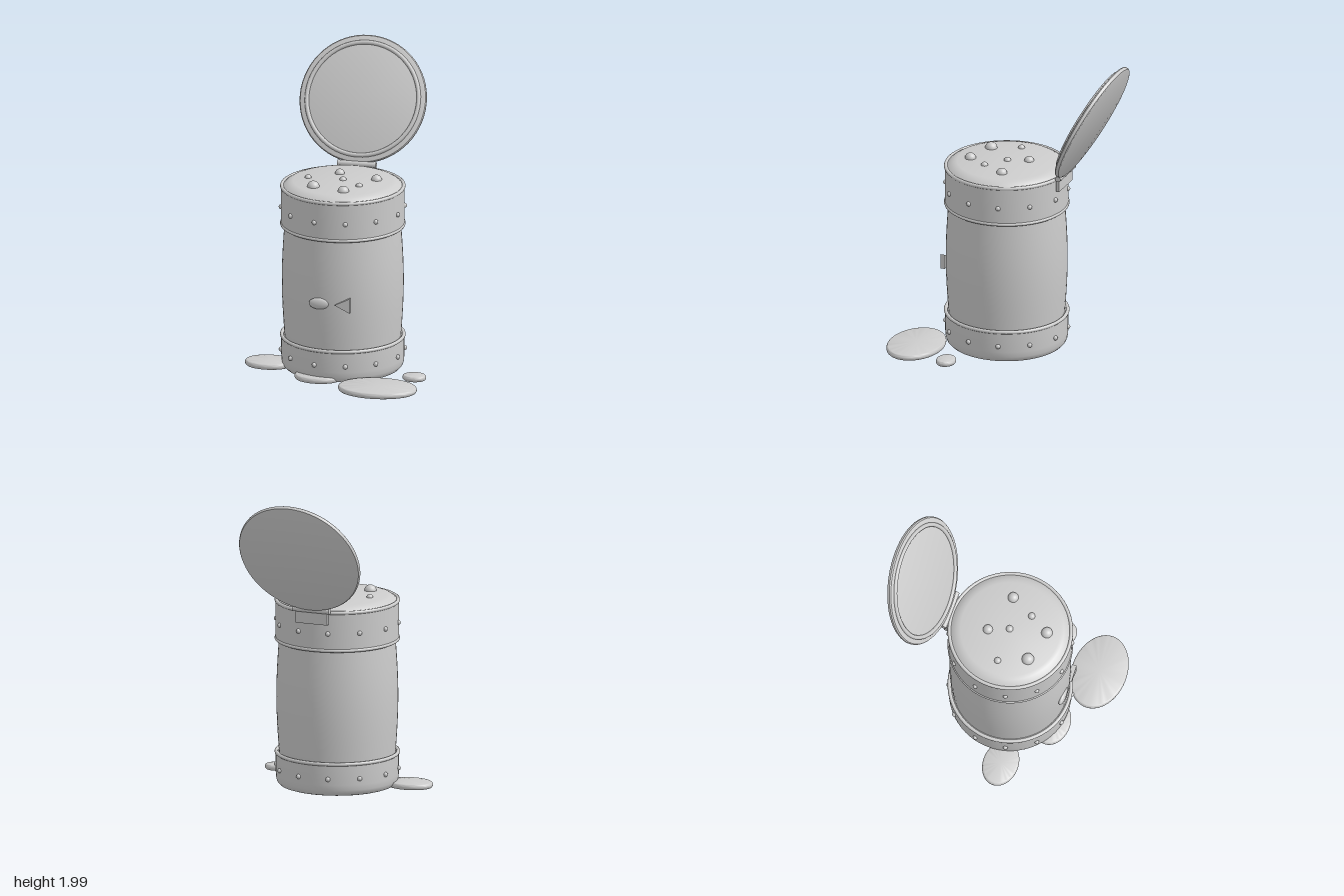
import * as THREE from 'three';
import { toCreasedNormals } from 'three/addons/utils/BufferGeometryUtils.js';

const grey = new THREE.MeshStandardMaterial({ color: 0xcccccc });

function add(parent, name, geometry, x = 0, y = 0, z = 0) {
  const mesh = new THREE.Mesh(geometry, grey);
  mesh.name = name;
  mesh.position.set(x, y, z);
  parent.add(mesh);
  return mesh;
}

// Revolved solid with crisp profile corners
function lathe(points, segments = 64) {
  const profile = points.map(([r, y]) => new THREE.Vector2(r, y));
  return toCreasedNormals(new THREE.LatheGeometry(profile, segments), 0.6);
}

export function createModel() {
  const model = new THREE.Group();
  model.name = 'slimeBarrel';

  const barrel = new THREE.Group();
  barrel.name = 'barrel';
  barrel.position.set(0.01, 0, 0.055);
  model.add(barrel);

  // Bulging body between the two bands
  const body = [];
  for (let i = 0; i <= 16; i++) {
    const t = i / 16;
    body.push([0.374 + 0.018 * Math.sin(Math.PI * t), 0.2 + 0.78 * t]);
  }
  add(barrel, 'body', lathe(body));

  // Closed base band and upper band
  add(barrel, 'lowerBand', lathe([
    [0, 0.004], [0.355, 0.004], [0.372, 0.01], [0.386, 0.025], [0.393, 0.045],
    [0.396, 0.08], [0.396, 0.215], [0.37, 0.22],
  ]));
  add(barrel, 'upperBand', lathe([
    [0.37, 0.96], [0.397, 0.965], [0.397, 1.22], [0.37, 1.225],
  ]));

  // Rolled hoops at the band edges
  for (const y of [0.218, 0.968, 1.218]) {
    const hoop = add(barrel, 'hoop', new THREE.TorusGeometry(0.392, 0.012, 10, 64), 0, y, 0);
    hoop.rotation.x = Math.PI / 2;
  }

  // Rivets around both bands
  const rivet = new THREE.SphereGeometry(0.016, 12, 8);
  for (const y of [0.12, 1.08]) {
    for (let i = 0; i < 12; i++) {
      const a = (i + 0.5) * Math.PI / 6;
      add(barrel, 'rivet', rivet, 0.397 * Math.sin(a), y, 0.397 * Math.cos(a));
    }
  }

  // Slime filling the top, with bubbles
  add(barrel, 'slimeSurface', lathe([
    [0.388, 1.215], [0.37, 1.232], [0.345, 1.247], [0.32, 1.254], [0, 1.256],
  ]));
  const bubbles = [
    [-0.04, -0.08, 0.032], [0.22, 0, 0.035], [-0.22, 0.05, 0.022], [0.01, 0.05, 0.024],
    [0.14, 0.155, 0.023], [-0.145, 0.23, 0.04], [0.065, 0.285, 0.037],
  ];
  for (const [x, z, r] of bubbles) {
    add(model, 'bubble', new THREE.SphereGeometry(r, 20, 14), x, 1.253, z);
  }

  // Open lid leaning back, its inner face towards the front
  const lid = new THREE.Group();
  lid.name = 'lid';
  lid.position.set(0.01, 1.615, -0.543);
  lid.rotation.x = Math.PI / 2 - THREE.MathUtils.degToRad(25.5);
  model.add(lid);
  add(lid, 'lidDisc', lathe([
    [0, -0.017], [0.4, -0.017], [0.411, -0.013], [0.417, -0.004],
    [0.417, 0.006], [0.411, 0.014], [0.4, 0.017], [0, 0.017],
  ]));
  const ring = add(lid, 'lidRing', new THREE.TorusGeometry(0.367, 0.014, 10, 64), 0, 0.019, 0);
  ring.rotation.x = Math.PI / 2;

  // Hinge plate and pin
  add(model, 'hingePlate', new THREE.BoxGeometry(0.22, 0.085, 0.022), 0.01, 1.185, -0.347);
  const pin = add(model, 'hingePin', new THREE.CylinderGeometry(0.019, 0.019, 0.255, 16), 0.01, 1.236, -0.356);
  pin.rotation.z = Math.PI / 2;

  // Fish emblem on the front: oval body and triangular tail
  const fishBody = add(model, 'fishBody', new THREE.SphereGeometry(1, 28, 18), -0.06, 0.537, 0.44);
  fishBody.scale.set(0.067, 0.038, 0.02);
  const tail = new THREE.Shape([
    new THREE.Vector2(0.045, 0.537), new THREE.Vector2(0.145, 0.488), new THREE.Vector2(0.145, 0.586),
  ]);
  add(model, 'fishTail', new THREE.ExtrudeGeometry(tail, { depth: 0.03, bevelEnabled: false }), 0, 0, 0.429);

  // Flat puddles with rounded rims: x, z, half width, half depth
  const puddles = [
    [-0.455, 0.155, 0.155, 0.115], [-0.08, 0.375, 0.155, 0.115],
    [0.348, 0.542, 0.257, 0.179], [0.527, 0.258, 0.077, 0.063],
  ];
  for (const [x, z, rx, rz] of puddles) {
    const inset = 0.016 / rx;
    const profile = [[0, 0.006]];
    for (let i = 0; i <= 8; i++) {
      const a = -Math.PI / 2 + i * Math.PI / 8;
      profile.push([1 - inset + inset * Math.cos(a), 0.0245 + 0.0185 * Math.sin(a)]);
    }
    profile.push([0, 0.043]);
    const geometry = new THREE.LatheGeometry(profile.map(([r, y]) => new THREE.Vector2(r, y)), 48);
    geometry.scale(rx, 1, rz);
    add(model, 'puddle', toCreasedNormals(geometry, 0.8), x, 0, z);
  }

  return model;
}
